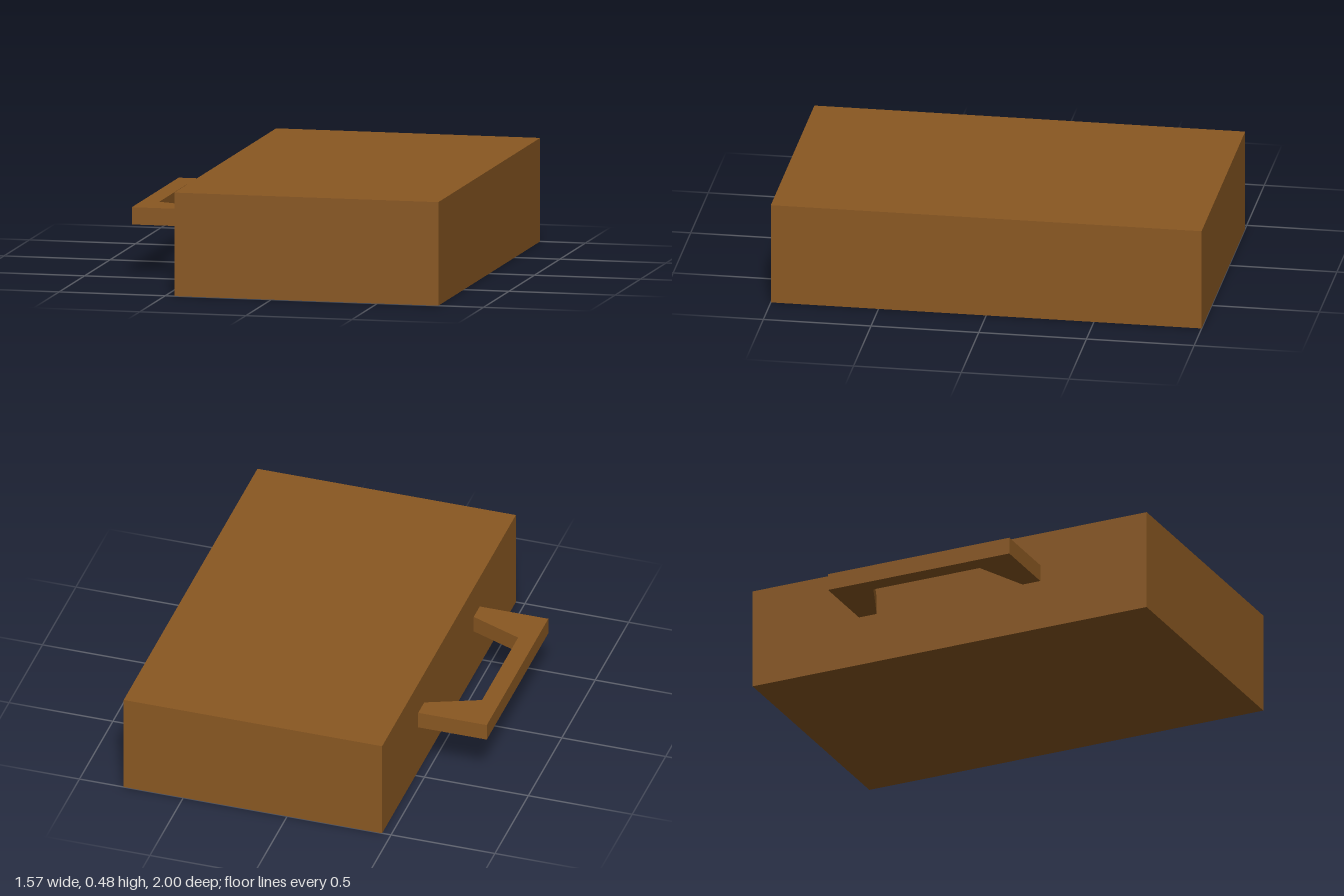
import * as THREE from 'three';

export function createModel() {
  const model = new THREE.Group();
  const brown = new THREE.MeshStandardMaterial({ color: 0x8a5822 });
  brown.name = 'brown';

  // Solid rectangular body
  const left = -0.457, right = 0.787, height = 0.48;
  const body = new THREE.Mesh(new THREE.BoxGeometry(right - left, height, 2), brown);
  body.name = 'body';
  body.position.set((left + right) / 2, height / 2, 0);
  model.add(body);

  // Flat bracket handle, drawn in plan (x, z) and extruded downwards
  const plan = [
    [left, -0.46], [-0.787, -0.46], [-0.787, 0.46], [left, 0.46],
    [left, 0.37], [-0.703, 0.27], [-0.703, -0.27], [left, -0.37],
  ].map(([x, z]) => new THREE.Vector2(x, z));
  const handleGeometry = new THREE.ExtrudeGeometry(new THREE.Shape(plan), { depth: 0.08, bevelEnabled: false });
  handleGeometry.rotateX(Math.PI / 2);
  const handle = new THREE.Mesh(handleGeometry, brown);
  handle.name = 'handle';
  handle.position.y = 0.32;
  model.add(handle);

  return model;
}
